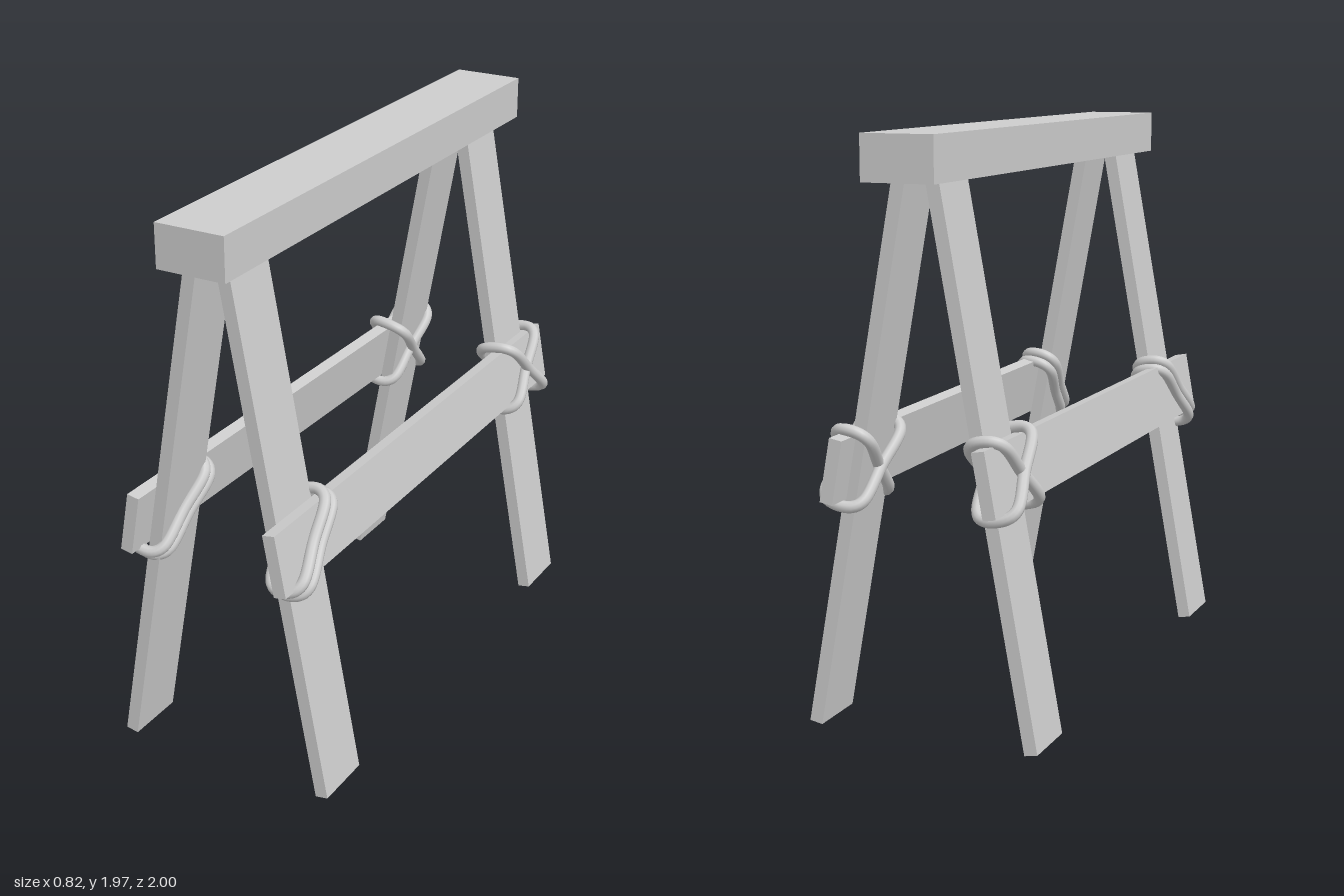
import * as THREE from 'three';

const TILT = 0.18; // splay of the legs

// Closed rope lashing: a rounded rectangle lying in the plane of the wall normal (x) and a diagonal in yz
function ropeLoop(material, { z, angle, inner, outer, half = 0.175, y = 0 }) {
  const r = 0.03;
  const outline = [
    [outer, -half + r], [outer, 0], [outer, half - r], [outer - r, half],
    [inner + r, half], [inner, half - r], [inner, 0], [inner, -half + r],
    [inner + r, -half], [outer - r, -half],
  ];
  const points = outline.map(([x, d]) =>
    new THREE.Vector3(x, y + d * Math.cos(angle), z + d * Math.sin(angle)));
  const curve = new THREE.CatmullRomCurve3(points, true);
  return new THREE.Mesh(new THREE.TubeGeometry(curve, 72, 0.02, 10, true), material);
}

export function createModel() {
  const model = new THREE.Group();
  model.name = 'sawhorse';
  const grey = new THREE.MeshStandardMaterial({ color: 0xcccccc });
  grey.name = 'plain grey';

  const addBox = (parent, name, size, position) => {
    const mesh = new THREE.Mesh(new THREE.BoxGeometry(...size), grey);
    mesh.name = name;
    mesh.position.set(...position);
    parent.add(mesh);
    return mesh;
  };

  // Top beam
  addBox(model, 'topBeam', [0.25, 0.15, 2], [0, 1.895, 0]);

  // Each splayed side: two legs, a rail outside them and the lashings
  for (const s of [1, -1]) {
    const side = new THREE.Group();
    side.name = s > 0 ? 'leftSide' : 'rightSide';
    side.position.set(s * 0.228, 0.89, 0);
    side.rotation.z = s * TILT;
    model.add(side);

    for (const [name, z] of [['frontLeg', 0.811], ['backLeg', -0.769]]) {
      addBox(side, name, [0.046, 1.87, 0.214], [0, 0.035, z]);
    }

    const railX = s > 0 ? 0.04 : 0.05;
    const rail = addBox(side, 'sideRail', [0.045, 0.217, 1.975], [s * railX, 0, 0.0125]);
    rail.rotation.y = s * 0.006;

    // Front joint: two parallel turns; back joint: two crossed turns
    const inner = -0.036, outer = railX + 0.042;
    const turns = [
      ['frontRope', { z: 0.815, y: 0.008, angle: -Math.PI / 4, inner, outer }],
      ['frontRope', { z: 0.782, y: -0.02, angle: -Math.PI / 4, inner, outer }],
      ['backRope', { z: -0.773, angle: -Math.PI / 4, inner, outer }],
      ['backRope', { z: -0.773, angle: Math.PI / 4, inner: inner - 0.01, outer: outer + 0.01 }],
    ];
    for (const [name, turn] of turns) {
      const rope = ropeLoop(grey, { ...turn, inner: s * turn.inner, outer: s * turn.outer, ...{} });
      rope.name = name;
      side.add(rope);
    }
  }
  // Mirrored loops need their corner rounding mirrored as well
  model.getObjectByName('rightSide').children
    .filter((part) => part.name.endsWith('Rope'))
    .forEach((part) => part.removeFromParent());
  const right = model.getObjectByName('rightSide');
  for (const rope of model.getObjectByName('leftSide').children.filter((p) => p.name.endsWith('Rope'))) {
    const copy = rope.clone();
    copy.scale.x = -1;
    copy.position.x = -0.006;
    right.add(copy);
  }
  return model;
}
